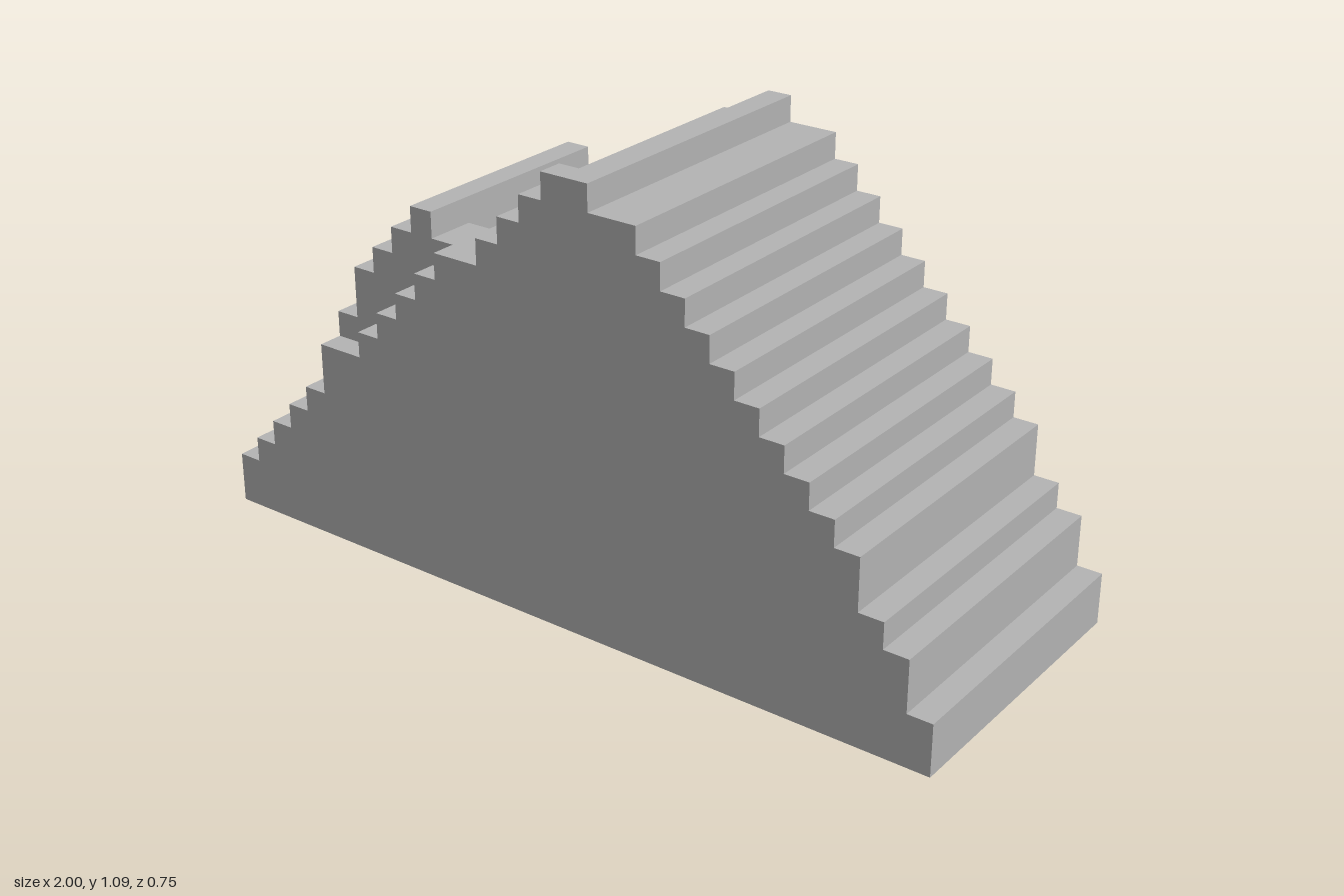
import * as THREE from 'three';

// Block size and grid: 32 columns along x, 17 layers, 12 rows along z
const DX = 0.0625, DY = 0.0642, DZ = 0.0629;
const COLS = 32, ROWS = 12;

// Height of each column of the stepped body, in blocks, from -x to +x
const STEPS = [2, 3, 4, 5, 6, 8, 8, 9, 10, 11, 12, 13, 13, 14, 15, 16,
  16, 17, 16, 16, 15, 14, 13, 12, 11, 10, 9, 8, 7, 5, 4, 2];

// Raised blocks: name, column, first row, end row, top layer
const RAISED = [
  ['alcoveStep', 6, 2, 9, 9],
  ['alcoveStep', 7, 2, 10, 11],
  ['alcoveStep', 8, 2, 9, 12],
  ['alcoveWall', 9, 2, 11, 14],
  ['sideBuildUp', 5, 9, 11, 9],
  ['sideBuildUp', 6, 9, 10, 10],
  ['sideBuildUp', 6, 10, 11, 11],
  ['sideBuildUp', 7, 10, 11, 12],
  ['sideBuildUp', 8, 9, 11, 13],
  ['sideBuildUp', 10, 9, 11, 13],
  ['ridgeBlock', 16, 11, 12, 17],
];

const px = (c) => (c - COLS / 2) * DX;
const pz = (r) => (r - ROWS / 2) * DZ;

export function createModel() {
  const model = new THREE.Group();
  model.name = 'steppedMound';
  const stone = new THREE.MeshStandardMaterial({ color: 0xb4b4b4 });
  stone.name = 'grey stone';

  // Stepped body: staircase outline extruded through the depth
  const outline = new THREE.Shape();
  outline.moveTo(px(0), 0);
  outline.lineTo(px(COLS), 0);
  for (let c = COLS - 1; c >= 0; c--) {
    if (STEPS[c] !== STEPS[c + 1]) outline.lineTo(px(c + 1), STEPS[c] * DY);
    if (STEPS[c] !== STEPS[c - 1]) outline.lineTo(px(c), STEPS[c] * DY);
  }
  const bodyGeometry = new THREE.ExtrudeGeometry(outline, { depth: ROWS * DZ, bevelEnabled: false });
  bodyGeometry.translate(0, 0, pz(0));
  const body = new THREE.Mesh(bodyGeometry, stone);
  body.name = 'steppedBody';
  model.add(body);

  // Blocks standing on the steps
  for (const [name, col, row, endRow, top] of RAISED) {
    const height = (top - STEPS[col]) * DY;
    const block = new THREE.Mesh(new THREE.BoxGeometry(DX, height, (endRow - row) * DZ), stone);
    block.position.set(px(col + 0.5), top * DY - height / 2, pz((row + endRow) / 2));
    block.name = name;
    model.add(block);
  }
  return model;
}
